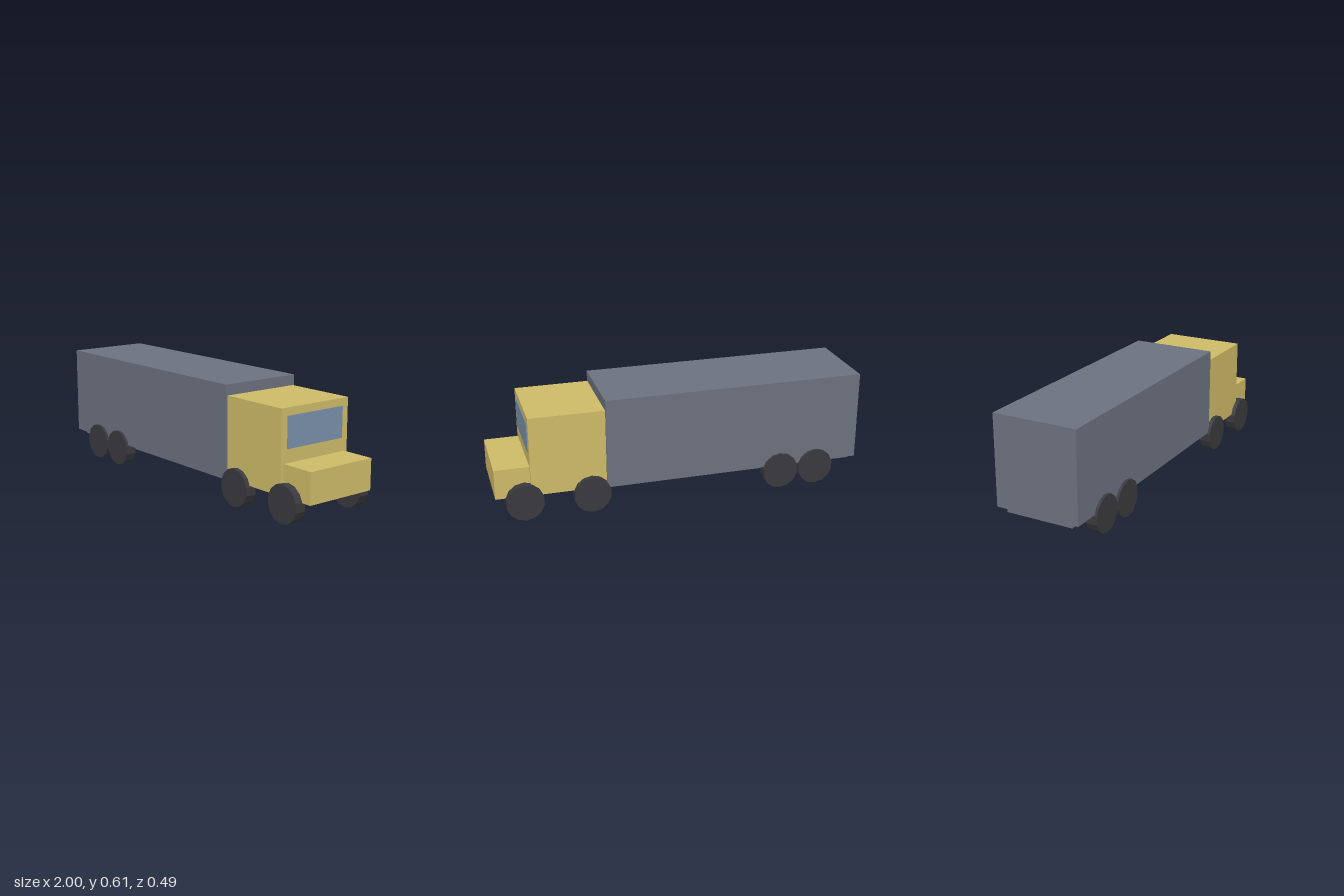
import * as THREE from 'three';

const paint = (color) => new THREE.MeshStandardMaterial({ color, flatShading: true });

// Box given by its [min, max] range on each axis
function box(name, [x0, x1], [y0, y1], [z0, z1], material) {
  const mesh = new THREE.Mesh(new THREE.BoxGeometry(x1 - x0, y1 - y0, z1 - z0), material);
  mesh.position.set((x0 + x1) / 2, (y0 + y1) / 2, (z0 + z1) / 2);
  mesh.name = name;
  return mesh;
}

export function createModel() {
  const truck = new THREE.Group();
  truck.name = 'boxTruck';

  const grey = paint(0x6b717e);
  const yellow = paint(0xcdba68);
  const glass = paint(0x7890aa);
  const rubber = paint(0x3a3a3e);

  // Cargo body and the chassis slab beneath it
  truck.add(box('cargoBox', [-1, 0.415], [0.128, 0.614], [-0.232, 0.232], grey));
  truck.add(box('chassis', [-0.98, 0.4], [0.101, 0.128], [-0.186, 0.186], grey));

  // Cab, hood and windshield, facing +x
  truck.add(box('cab', [0.415, 0.815], [0.127, 0.558], [-0.223, 0.223], yellow));
  truck.add(box('hood', [0.815, 1], [0.121, 0.285], [-0.205, 0.205], yellow));
  truck.add(box('windshield', [0.81, 0.818], [0.355, 0.518], [-0.185, 0.185], glass));

  // Four axles with a 14-sided wheel at each end
  const radius = 0.1;
  const wheelGeometry = new THREE.CylinderGeometry(radius, radius, 0.061, 14);
  wheelGeometry.rotateX(Math.PI / 2);
  for (const x of [-0.76, -0.555, 0.495, 0.85]) {
    for (const side of [1, -1]) {
      const wheel = new THREE.Mesh(wheelGeometry, rubber);
      wheel.position.set(x, radius, side * 0.2165);
      wheel.name = 'wheel';
      truck.add(wheel);
    }
  }
  return truck;
}
